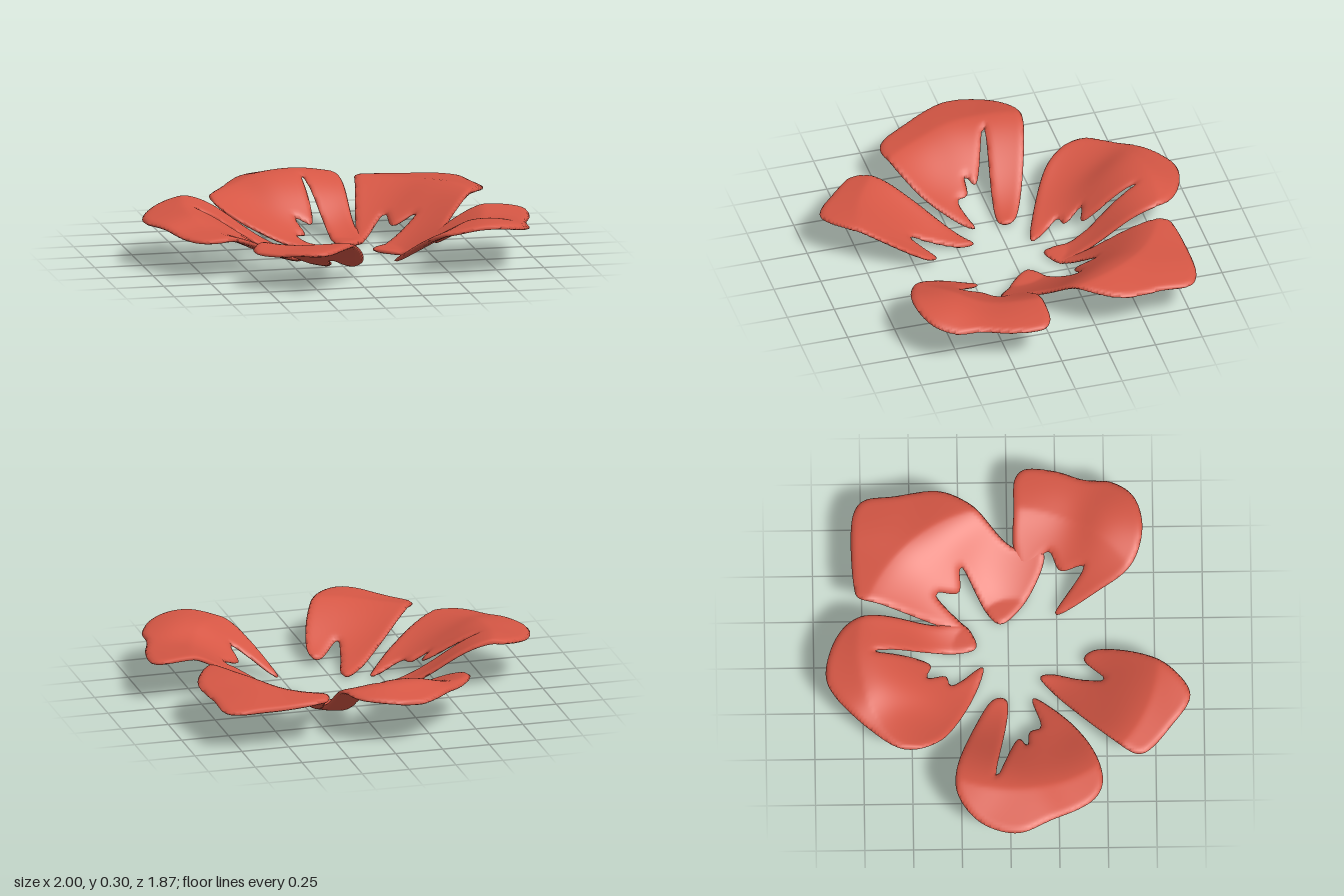
import * as THREE from 'three';
import { mergeVertices } from 'three/addons/utils/BufferGeometryUtils.js';

const STEP = 0.015;      // sheet grid spacing
const HALF = 0.014;      // half thickness of a petal
const ROUND = 0.035;     // width of the rounded rim

// Height of the cupped flower by distance from its centre, drooping at the rim
function bowlHeight(r) {
  return 0.018 + 0.243 * THREE.MathUtils.smoothstep(r, 0.19, 0.8) - 0.18 * Math.max(0, r - 0.77);
}

// Bowl plus smoothly blended bends of one petal, each bend being [x, z, y]
function sheetHeight(x, z, bends) {
  let sum = 0, weight = 0.25;
  for (const [cx, cz, cy] of bends) {
    const w = Math.exp(-((x - cx) ** 2 + (z - cz) ** 2) / (2 * 0.13 ** 2));
    sum += w * (cy - bowlHeight(Math.hypot(cx, cz)));
    weight += w;
  }
  return Math.max(HALF, bowlHeight(Math.hypot(x, z)) + sum / weight);
}

// Signed distance to the outline, positive inside
function insideDistance(x, z, loop) {
  let best = Infinity, inside = false;
  for (let i = 0, j = loop.length - 1; i < loop.length; j = i++) {
    const a = loop[j], b = loop[i], dx = b.x - a.x, dz = b.y - a.y;
    const t = THREE.MathUtils.clamp(((x - a.x) * dx + (z - a.y) * dz) / (dx * dx + dz * dz), 0, 1);
    best = Math.min(best, Math.hypot(x - a.x - t * dx, z - a.y - t * dz));
    if ((a.y > z) !== (b.y > z) && x < a.x + ((z - a.y) / dz) * dx) inside = !inside;
  }
  return inside ? best : -best;
}

// Keep the part of a triangle that lies inside the outline
function clip(triangle) {
  const out = [];
  triangle.forEach((a, i) => {
    const b = triangle[(i + 1) % 3];
    if (a.d >= 0) out.push(a);
    if ((a.d >= 0) !== (b.d >= 0)) {
      const t = a.d / (a.d - b.d);
      out.push({ x: a.x + (b.x - a.x) * t, z: a.z + (b.z - a.z) * t, d: 0 });
    }
  });
  return out;
}

// A thin sheet with rounded rims: upper and lower skins meet at the outline
function petalGeometry(outline, bends) {
  const curve = new THREE.CatmullRomCurve3(outline.map(([x, z]) => new THREE.Vector3(x, z, 0)), true, 'centripetal');
  const loop = curve.getSpacedPoints(200).slice(0, -1);
  const box = new THREE.Box3().setFromPoints(loop).expandByScalar(STEP);
  const nx = Math.ceil((box.max.x - box.min.x) / STEP), nz = Math.ceil((box.max.y - box.min.y) / STEP);
  const grid = [];
  for (let i = 0; i <= nx; i++) {
    grid.push([]);
    for (let k = 0; k <= nz; k++) {
      const x = box.min.x + i * STEP, z = box.min.y + k * STEP;
      grid[i].push({ x, z, d: insideDistance(x, z, loop) });
    }
  }

  const positions = [];
  const put = (p, side) => {
    const s = 1 - Math.min(1, p.d / ROUND);
    positions.push(p.x, sheetHeight(p.x, p.z, bends) + side * HALF * Math.sqrt(1 - s * s), p.z);
  };
  for (let i = 0; i < nx; i++) {
    for (let k = 0; k < nz; k++) {
      const a = grid[i][k], b = grid[i][k + 1], c = grid[i + 1][k + 1], e = grid[i + 1][k];
      for (const triangle of [[a, b, c], [a, c, e]]) {
        const poly = clip(triangle);
        for (let n = 1; n + 1 < poly.length; n++) {
          [poly[0], poly[n], poly[n + 1]].forEach((p) => put(p, 1));
          [poly[0], poly[n + 1], poly[n]].forEach((p) => put(p, -1));
        }
      }
    }
  }
  const geometry = new THREE.BufferGeometry();
  geometry.setAttribute('position', new THREE.Float32BufferAttribute(positions, 3));
  const merged = mergeVertices(geometry, 1e-4);
  merged.computeVertexNormals();
  return merged;
}

export function createModel() {
  const flower = new THREE.Group();
  flower.name = 'flower';
  const material = new THREE.MeshStandardMaterial({ color: 0xd65745, side: THREE.DoubleSide });
  const addPetal = (name, outline, bends) => {
    const mesh = new THREE.Mesh(petalGeometry(outline, bends), material);
    mesh.name = name;
    flower.add(mesh);
  };

  // Each petal: outline as [x, z], then its bends
  addPetal('backPetal',
    [[-0.01, -0.13], [-0.45, -0.34], [-0.53, -0.53], [-0.42, -0.72], [-0.25, -0.89], [-0.13, -0.94], [0.08, -0.88],
      [0.18, -0.77], [0.2, -0.38], [0.22, -0.23], [0.16, -0.18], [0.09, -0.165], [0.045, -0.42], [-0.01, -0.69],
      [-0.02, -0.4], [-0.1, -0.42], [-0.07, -0.32], [-0.12, -0.3]],
    [[-0.5, -0.53, 0.2], [0, -0.67, 0.29], [0.2, -0.4, 0.07], [0.18, -0.72, 0.235], [-0.12, -0.93, 0.235]]);

  addPetal('backLeftPetal',
    [[0.17, -0.185], [0.205, -0.38], [0.26, -0.64], [0.295, -0.77], [0.36, -0.79], [0.75, -0.79], [0.83, -0.74],
      [0.85, -0.58], [0.87, -0.35], [0.8, -0.2], [0.6, 0.02], [0.56, 0.19], [0.22, -0.04], [0.49, -0.24],
      [0.37, -0.25], [0.355, -0.37]],
    [[0.58, 0.03, 0.13], [0.27, -0.62, 0.2], [0.45, 0.03, 0.06], [0.57, 0.18, 0.11], [0.8, -0.2, 0.265],
      [0.85, -0.75, 0.21], [0.2, -0.4, 0.07], [0.35, -0.78, 0.24]]);

  addPetal('frontLeftPetal',
    [[0.46, 0.08], [0.6, 0.03], [0.75, 0.035], [0.94, 0.045], [0.99, 0.09], [0.98, 0.25], [0.93, 0.4],
      [0.915, 0.54], [0.83, 0.65], [0.645, 0.695], [0.455, 0.63], [0.35, 0.46], [0.27, 0.24], [0.48, 0.39],
      [0.475, 0.27], [0.57, 0.21]],
    [[0.58, 0.03, 0.13], [0.65, 0.69, 0.29], [0.42, 0.6, 0.18], [0.57, 0.18, 0.11], [0.29, 0.25, 0.015],
      [0.8, 0.06, 0.25]]);

  addPetal('frontPetal',
    [[-0.07, 0.16], [-0.12, 0.19], [-0.54, 0.6], [-0.56, 0.68], [-0.42, 0.825], [-0.25, 0.93], [-0.1, 0.83],
      [0.02, 0.61], [0.055, 0.43], [0.02, 0.385], [-0.115, 0.49], [-0.1, 0.385], [-0.055, 0.21]],
    [[-0.55, 0.65, 0.19], [-0.3, 0.65, 0.18], [0.02, 0.58, 0.12], [-0.25, 0.91, 0.225]]);

  addPetal('rightPetal',
    [[-0.18, -0.05], [-0.21, -0.1], [-0.665, -0.275], [-0.8, -0.27], [-0.94, -0.16], [-1, 0.03], [-0.93, 0.21],
      [-0.81, 0.43], [-0.72, 0.475], [-0.56, 0.44], [-0.345, 0.31], [-0.185, 0.12], [-0.37, 0.16], [-0.39, 0.105],
      [-0.49, 0.09], [-0.435, 0.05], [-0.7, -0.07], [-0.2, -0.01]],
    [[-0.74, -0.27, 0.29], [-0.76, 0.45, 0.21], [-0.56, 0.43, 0.18], [-0.97, 0.03, 0.24]]);

  return flower;
}
